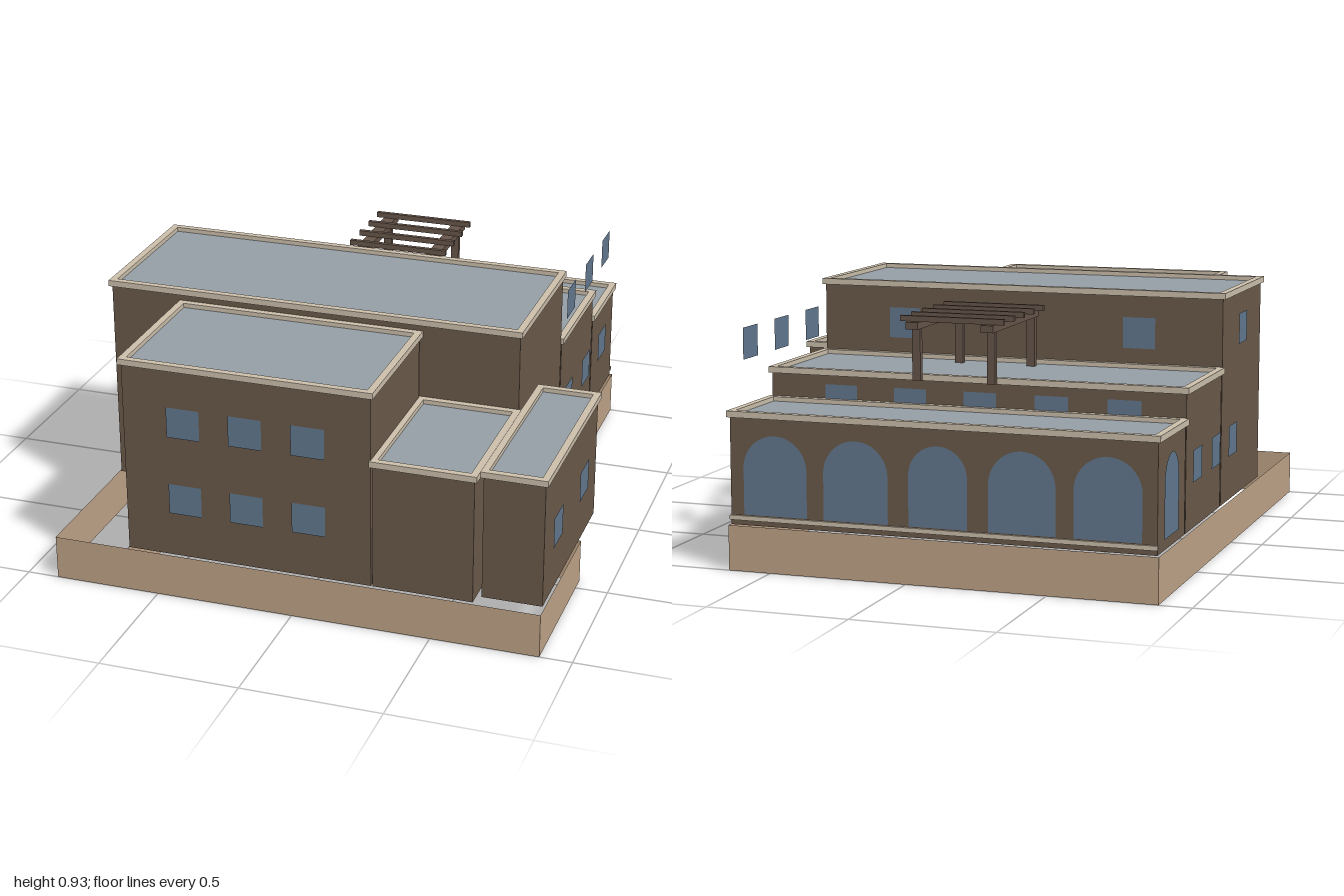
import * as THREE from 'three';

const mat = (name, color, side = THREE.FrontSide) => {
  const m = new THREE.MeshStandardMaterial({ color, side });
  m.name = name;
  return m;
};

export function createModel() {
  const wall = mat('brown wall', 0x6a5a4b, THREE.DoubleSide);
  const stone = mat('tan foundation', 0xbfa387, THREE.DoubleSide);
  const trim = mat('pale trim', 0xcdc0ac);
  const roofGrey = mat('grey roof', 0x959fa6, THREE.DoubleSide);
  const glass = mat('blue glass', 0x62788e, THREE.DoubleSide);
  const wood = mat('dark wood', 0x66554a);

  const model = new THREE.Group();
  model.name = 'building';
  const add = (name, geometry, material, x = 0, y = 0, z = 0, ry = 0, parent = model) => {
    const m = new THREE.Mesh(geometry, material);
    m.name = name;
    m.position.set(x, y, z);
    m.rotation.y = ry;
    parent.add(m);
    return m;
  };

  // Vertical sheet standing along a line of [x, z] points
  const ribbon = (points, y0, y1) => {
    const pos = [];
    for (let i = 0; i < points.length - 1; i++) {
      const [ax, az] = points[i], [bx, bz] = points[i + 1];
      pos.push(ax, y0, az, bx, y0, bz, bx, y1, bz, ax, y0, az, bx, y1, bz, ax, y1, az);
    }
    const g = new THREE.BufferGeometry();
    g.setAttribute('position', new THREE.Float32BufferAttribute(pos, 3));
    g.computeVertexNormals();
    return g;
  };
  const loop = (x0, x1, z0, z1) => [[x0, z1], [x1, z1], [x1, z0], [x0, z0], [x0, z1]];

  // Parapet ring with a rectangular opening
  const ring = (w, d, t, h) => {
    const s = new THREE.Shape();
    s.moveTo(-w / 2, -d / 2).lineTo(w / 2, -d / 2).lineTo(w / 2, d / 2).lineTo(-w / 2, d / 2).closePath();
    const a = w / 2 - t, b = d / 2 - t;
    const hole = new THREE.Path();
    hole.moveTo(-a, -b).lineTo(-a, b).lineTo(a, b).lineTo(a, -b).closePath();
    s.holes.push(hole);
    return new THREE.ExtrudeGeometry(s, { depth: h, bevelEnabled: false }).rotateX(-Math.PI / 2);
  };

  // Foundation skirt and the inner courtyard foundation
  add('foundation', ribbon([[-0.885, 1], [0.885, 1], [0.885, 0.445], [0.655, 0.445],
    [0.655, -1], [-0.885, -1], [-0.885, 1]], 0, 0.16), stone);
  add('innerFoundation', ribbon([[0.655, 0.445], [-0.61, 0.445], [-0.61, 1]], 0, 0.16), stone);

  // Building blocks: rim x0, x1, z0, z1 and height
  const blocks = [
    ['backWing', -0.887, 0.657, -1, -0.635, 0.56],
    ['terrace', -0.887, 0.657, -0.645, -0.14, 0.665],
    ['mainHall', -0.887, 0.657, -0.15, 0.457, 0.93],
    ['frontWing', -0.615, 0.297, 0.447, 1, 0.885],
    ['entryWing', 0.283, 0.657, 0.447, 1, 0.636],
    ['sideWing', 0.655, 0.887, 0.215, 0.955, 0.635],
  ];
  const inset = 0.01, rimH = 0.022, rimT = 0.025;
  for (const [name, x0, x1, z0, z1, top] of blocks) {
    const g = new THREE.Group();
    g.name = name;
    model.add(g);
    const cx = (x0 + x1) / 2, cz = (z0 + z1) / 2, w = x1 - x0, d = z1 - z0;
    add('walls', ribbon(loop(x0 + inset, x1 - inset, z0 + inset, z1 - inset), 0.162, top - rimH),
      wall, 0, 0, 0, 0, g);
    add('parapet', ring(w, d, rimT, rimH), trim, cx, top - rimH, cz, 0, g);
    add('roof', new THREE.PlaneGeometry(w - 0.03, d - 0.03).rotateX(-Math.PI / 2),
      roofGrey, cx, top - rimH + 0.006, cz, 0, g);
  }

  // Square windows
  const pane = new THREE.PlaneGeometry(0.12, 0.112);
  const FRONT = 0, RIGHT = Math.PI / 2, BACK = Math.PI, LEFT = -Math.PI / 2;
  const win = (x, y, z, ry) => add('window', pane, glass, x, y, z, ry);
  for (const x of [-0.385, -0.16, 0.065])
    for (const y of [0.38, 0.67]) win(x, y, 0.994, FRONT);
  for (const z of [-0.265, -0.54, -0.805])
    for (const y of [0.38, 0.775]) win(0.651, y, z, RIGHT);
  for (const z of [0.77, 0.41]) win(0.881, 0.38, z, RIGHT);
  for (const z of [-0.49, -0.23, 0.02]) win(-0.881, 0.38, z, LEFT);
  win(-0.881, 0.775, 0.155, LEFT);
  for (const x of [0.33, -0.57]) win(x, 0.775, -0.144, BACK);
  for (let i = -2; i <= 2; i++) win(-0.14 + i * 0.26, 0.555, -0.639, BACK);

  // Arched windows along the back wing
  const arch = (w, h) => {
    const r = w / 2, s = new THREE.Shape();
    s.moveTo(-r, 0).lineTo(r, 0).lineTo(r, h - r);
    s.absarc(0, h - r, r, 0, Math.PI, false);
    s.closePath();
    return new THREE.ShapeGeometry(s, 12);
  };
  for (let i = -2; i <= 2; i++)
    add('archWindow', arch(i === 0 ? 0.21 : 0.235, 0.28), glass, -0.115 + i * 0.297, 0.2, -0.994, BACK);
  add('archWindow', arch(0.18, 0.28), glass, -0.881, 0.2, -0.83, LEFT);
  add('backSill', new THREE.BoxGeometry(1.53, 0.016, 0.012), trim, -0.115, 0.188, -0.993);

  // Timber pergola on the terrace
  const pergola = new THREE.Group();
  pergola.name = 'pergola';
  model.add(pergola);
  for (const x of [-0.19, 0.085]) {
    add('beam', new THREE.BoxGeometry(0.045, 0.025, 0.5), wood, x, 0.842, -0.46, 0, pergola);
    for (const z of [-0.222, -0.655])
      add('post', new THREE.BoxGeometry(0.03, 0.186, 0.02), wood, x, 0.738, z, 0, pergola);
  }
  for (let i = 0; i < 5; i++)
    add('rafter', new THREE.BoxGeometry(0.38, 0.02, 0.016), wood, -0.052, 0.864, -0.242 - i * 0.108, 0, pergola);

  return model;
}
